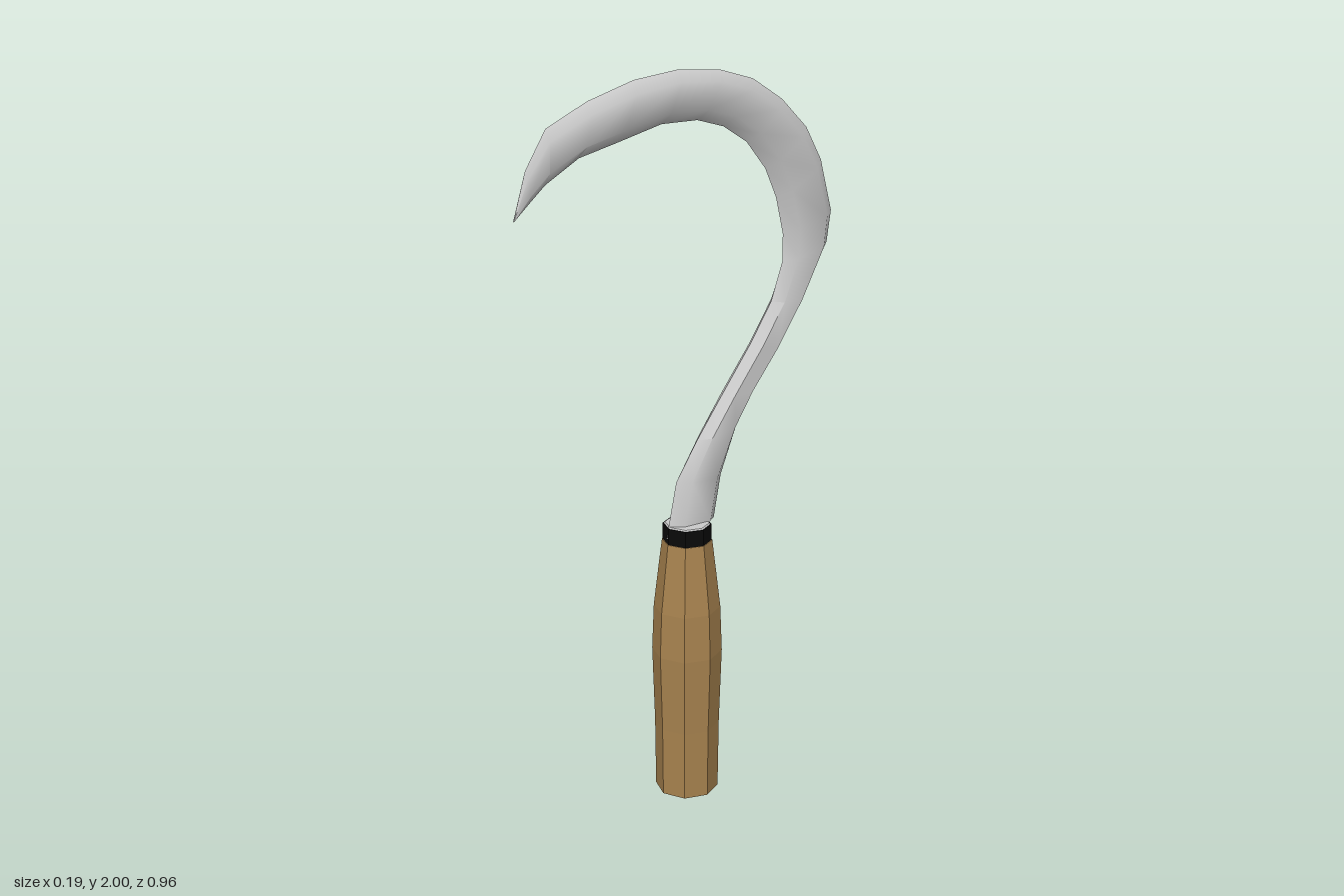
import * as THREE from 'three';
import { toCreasedNormals } from 'three/addons/utils/BufferGeometryUtils.js';

// Blade edges as [z, y] pairs, from the collar to the tip
const INNER = [[0.047, 0.76], [0.037, 0.81], [0.016, 0.915], [-0.05, 1.02], [-0.127, 1.13], [-0.22, 1.26],
  [-0.285, 1.365], [-0.32, 1.47], [-0.32, 1.545], [-0.296, 1.645], [-0.26, 1.725], [-0.2, 1.8],
  [-0.127, 1.847], [-0.048, 1.87], [0.058, 1.87], [0.19, 1.836], [0.296, 1.81], [0.39, 1.755],
  [0.435, 1.715], [0.478, 1.675]];
const OUTER = [[-0.07, 0.77], [-0.105, 0.79], [-0.127, 0.91], [-0.18, 1.05], [-0.233, 1.14], [-0.31, 1.24],
  [-0.39, 1.365], [-0.466, 1.505], [-0.478, 1.59], [-0.44, 1.73], [-0.39, 1.82], [-0.31, 1.9],
  [-0.217, 1.96], [-0.116, 1.99], [0.01, 2.0], [0.138, 1.985], [0.27, 1.945], [0.386, 1.89],
  [0.444, 1.795], [0.479, 1.677]];

// Six-sided section: [fraction from inner to outer edge, side offset]
const SECTION = [[0, 0], [0.22, 1], [0.78, 1], [1, 0], [0.78, -1], [0.22, -1]];

function bladeGeometry() {
  const pos = [], index = [], n = SECTION.length, last = INNER.length - 1;
  INNER.forEach(([zi, yi], i) => {
    const [zo, yo] = OUTER[i];
    const half = 0.026 * Math.min(1, (last - i) / 3 + 0.05);
    for (const [f, side] of SECTION) {
      const z = zi + (zo - zi) * f, y = yi + (yo - yi) * f;
      // the blade plane is turned slightly about the vertical
      pos.push(-0.005 - 0.125 * z + side * half, y, z);
    }
  });
  for (let i = 0; i < last; i++) {
    for (let j = 0; j < n; j++) {
      const a = i * n + j, b = i * n + (j + 1) % n;
      index.push(a, b, a + n, b, b + n, a + n);
    }
  }
  for (let j = 1; j < n - 1; j++) {
    index.push(0, j + 1, j, last * n, last * n + j, last * n + j + 1);
  }
  const g = new THREE.BufferGeometry();
  g.setAttribute('position', new THREE.Float32BufferAttribute(pos, 3));
  g.setIndex(index);
  return toCreasedNormals(g, 0.85);
}

export function createModel() {
  const model = new THREE.Group();
  const wood = new THREE.MeshStandardMaterial({ color: 0xa8834f, flatShading: true });
  const black = new THREE.MeshStandardMaterial({ color: 0x0a0a0a, flatShading: true });
  const steel = new THREE.MeshStandardMaterial({ color: 0xcccccc, side: THREE.DoubleSide });

  const add = (name, geometry, material) => {
    const mesh = new THREE.Mesh(geometry, material);
    mesh.name = name;
    model.add(mesh);
    return mesh;
  };
  const AXIS = [-0.003, 0, -0.019];

  // Octagonal swelling grip
  const profile = [[0, 0], [0.087, 0], [0.089, 0.2], [0.096, 0.42], [0.091, 0.55], [0.077, 0.67], [0.068, 0.745], [0, 0.745]];
  const grip = new THREE.LatheGeometry(profile.map(p => new THREE.Vector2(...p)), 8);
  // one corner stays proud at the neck
  const p = grip.attributes.position;
  for (let i = 0; i < p.count; i++) {
    if (p.getY(i) > 0.66 && p.getX(i) < -0.06) p.setX(i, -0.084);
  }
  add('handle', grip, wood).position.set(...AXIS);

  // Dark collar with a thin steel plate on top
  const collar = add('collar', new THREE.CylinderGeometry(0.066, 0.066, 0.047, 8), black);
  collar.position.set(AXIS[0], 0.767, AXIS[2]);
  const plate = add('collarPlate', new THREE.CylinderGeometry(0.06, 0.064, 0.004, 8), steel);
  plate.position.set(AXIS[0], 0.792, AXIS[2]);

  // Hooked blade
  add('blade', bladeGeometry(), steel);
  return model;
}
